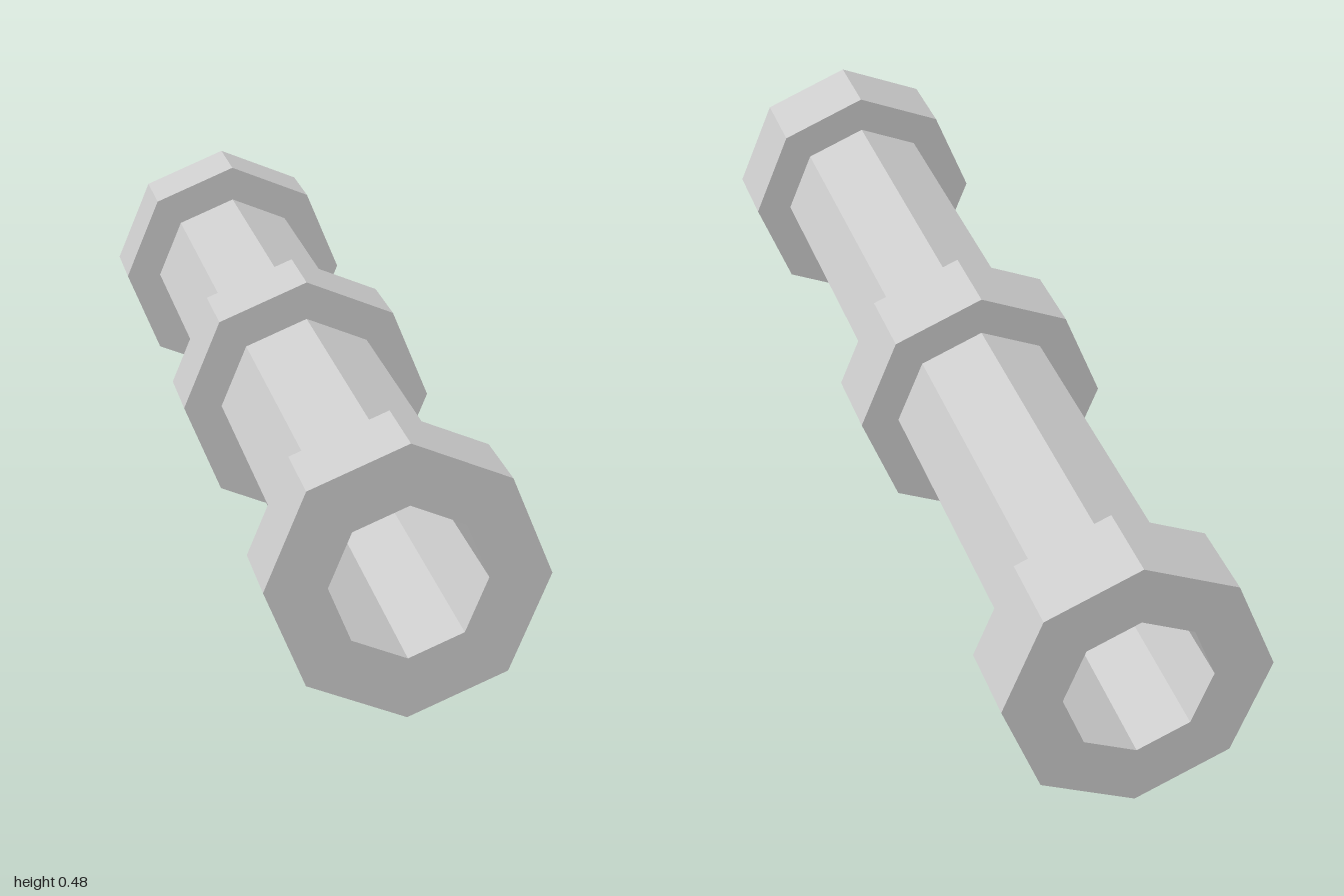
import * as THREE from 'three';

const SIDES = 8;
const COLLAR_R = 0.24, TUBE_R = 0.167, BORE_R = 0.134;
const END = 1, END_INNER = 0.837, MID = 0.082;

const material = new THREE.MeshStandardMaterial({ color: 0xcccccc, flatShading: true });

// Octagonal part turned around the z axis; profile is a list of [radius, z]
function turned(name, profile) {
  const points = profile.map(([r, z]) => new THREE.Vector2(r, z));
  const geometry = new THREE.LatheGeometry(points, SIDES).toNonIndexed();
  geometry.rotateX(Math.PI / 2);
  geometry.computeVertexNormals();
  const mesh = new THREE.Mesh(geometry, material);
  mesh.name = name;
  return mesh;
}

// Ring with its own inner radius on the back and front face
function collar(name, z0, z1, backR, frontR) {
  return turned(name, [[backR, z0], [COLLAR_R, z0], [COLLAR_R, z1], [frontR, z1]]);
}

export function createModel() {
  const pipe = new THREE.Group();
  pipe.name = 'pipe';

  // Collars at both ends and in the middle
  pipe.add(
    collar('backCollar', -END, -END_INNER, BORE_R, TUBE_R),
    collar('middleCollar', -MID, MID, TUBE_R, TUBE_R),
    collar('frontCollar', END_INNER, END, TUBE_R, BORE_R)
  );

  // Outer tube walls between the collars
  pipe.add(
    turned('backTube', [[TUBE_R, -END_INNER], [TUBE_R, -MID]]),
    turned('frontTube', [[TUBE_R, MID], [TUBE_R, END_INNER]])
  );

  // Inner wall running right through, facing the axis
  pipe.add(turned('bore', [[BORE_R, END], [BORE_R, -END]]));

  // Lift so the collars rest on the ground
  pipe.position.y = COLLAR_R;
  const model = new THREE.Group();
  model.name = 'collaredPipe';
  model.add(pipe);
  return model;
}
